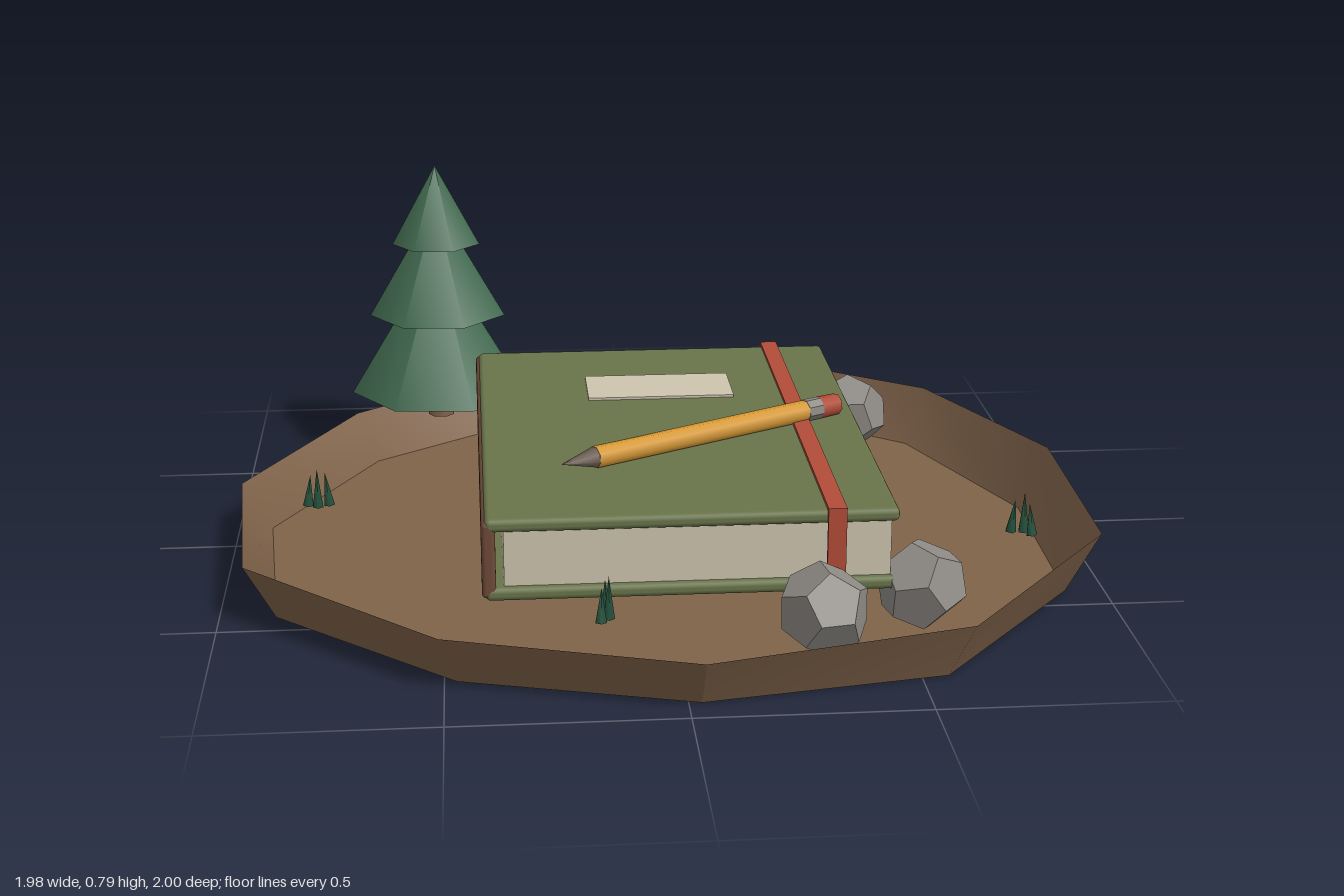
import * as THREE from 'three';
import { RoundedBoxGeometry } from 'three/addons/geometries/RoundedBoxGeometry.js';

const mat = (name, color, extra = {}) =>
  Object.assign(new THREE.MeshStandardMaterial({ color, ...extra }), { name });

export function createModel() {
  const earth = mat('earth', 0x80634a, { side: THREE.DoubleSide });
  const cover = mat('coverGreen', 0x69744a);
  const spine = mat('spineBrown', 0x6e4a38);
  const paper = mat('paper', 0xcdc4ae);
  const red = mat('strapRed', 0xb24c38);
  const yellow = mat('pencilYellow', 0xd89a35);
  const stone = mat('stone', 0x8e8a85, { flatShading: true });
  const pine = mat('pineGreen', 0x41694f);
  const grass = mat('grassGreen', 0x24503c);
  const lead = mat('pencilTip', 0x6b5c50);

  const model = new THREE.Group();
  model.name = 'campNotebookDiorama';
  const group = (name, parent = model) => {
    const g = new THREE.Group();
    g.name = name;
    parent.add(g);
    return g;
  };
  const add = (parent, name, geometry, material, x = 0, y = 0, z = 0) => {
    const m = new THREE.Mesh(geometry, material);
    m.name = name;
    m.position.set(x, y, z);
    parent.add(m);
    return m;
  };
  // Box given by its lower and upper corners
  const box = (parent, name, material, [x0, y0, z0], [x1, y1, z1], radius = 0) => {
    const s = [x1 - x0, y1 - y0, z1 - z0];
    const g = radius ? new RoundedBoxGeometry(...s, 2, radius) : new THREE.BoxGeometry(...s);
    return add(parent, name, g, material, (x0 + x1) / 2, (y0 + y1) / 2, (z0 + z1) / 2);
  };

  // Ground tray: uneven open rim [x, z, height] tapering to a flat floor
  const rim = [
    [0.03, 1.0, 0.118], [0.60, 0.905, 0.14], [0.98, 0.45, 0.15], [0.99, -0.11, 0.155],
    [0.78, -0.64, 0.14], [0.33, -1.0, 0.13], [-0.26, -0.955, 0.13], [-0.73, -0.61, 0.12],
    [-0.99, -0.12, 0.115], [-0.94, 0.46, 0.135], [-0.51, 0.85, 0.125],
  ];
  const taper = 0.93, n = rim.length;
  const wallPos = [], wallIdx = [], floorPos = [0, 0, 0], floorIdx = [];
  for (let i = 0; i <= n; i++) {
    const [x, z, h] = rim[i % n];
    wallPos.push(x, h, z, x * taper, 0, z * taper);
    floorPos.push(x * taper, 0, z * taper);
    if (i < n) {
      const a = 2 * i;
      wallIdx.push(a, a + 1, a + 2, a + 1, a + 3, a + 2);
      floorIdx.push(0, i + 1, i + 2);
    }
  }
  const surface = (pos, idx) => {
    const g = new THREE.BufferGeometry();
    g.setAttribute('position', new THREE.Float32BufferAttribute(pos, 3));
    g.setIndex(idx);
    g.computeVertexNormals();
    return g;
  };
  const ground = group('ground');
  add(ground, 'groundWall', surface(wallPos, wallIdx), earth);
  add(ground, 'groundFloor', surface(floorPos, floorIdx), earth);

  // Notebook
  const book = group('notebook');
  box(book, 'bottomCover', cover, [-0.41, 0.14, -0.465], [0.47, 0.17, 0.705], 0.012);
  box(book, 'topCover', cover, [-0.41, 0.295, -0.465], [0.47, 0.325, 0.705], 0.012);
  box(book, 'pages', paper, [-0.37, 0.168, -0.45], [0.455, 0.297, 0.69]);
  box(book, 'spine', spine, [-0.417, 0.146, -0.464], [-0.387, 0.318, 0.704], 0.01);
  box(book, 'label', paper, [-0.15, 0.323, -0.23], [0.2, 0.331, -0.06]);

  // Elastic strap around the notebook
  const strap = group('strap', book);
  for (const [y0, y1] of [[0.132, 0.141], [0.324, 0.333]])
    box(strap, 'strapAcross', red, [0.315, y0, -0.473], [0.355, y1, 0.713]);
  for (const z of [-0.473, 0.704])
    box(strap, 'strapEnd', red, [0.315, 0.132, z], [0.355, 0.333, z + 0.009]);

  // Map sheet tucked in at the back
  const map = group('map');
  map.position.set(0.18, 0.252, -0.485);
  map.rotation.y = 0.16;
  add(map, 'mapSheet', new THREE.BoxGeometry(0.405, 0.01, 0.32), paper);
  const lines = [
    [0.04, -0.5, 0.29, -0.64, red], [0.13, -0.585, 0.335, -0.485, pine],
    [0.065, -0.655, 0.095, -0.475, cover],
  ];
  lines.forEach(([x0, z0, x1, z1, m], i) => {
    const line = add(model, 'mapLine', new THREE.BoxGeometry(Math.hypot(x1 - x0, z1 - z0), 0.004, 0.013), m,
      (x0 + x1) / 2, 0.2585 + i * 0.001, (z0 + z1) / 2);
    line.rotation.y = Math.atan2(z0 - z1, x1 - x0);
  });

  // Pencil, laid from its tip along local +y
  const pencil = group('pencil');
  pencil.position.set(-0.235, 0.35, 0.445);
  pencil.quaternion.setFromUnitVectors(new THREE.Vector3(0, 1, 0),
    new THREE.Vector3(0.665, 0, -0.365).normalize());
  const section = (name, r0, r1, from, to, m) =>
    add(pencil, name, new THREE.CylinderGeometry(r1, r0, to - from, 8), m, 0, (from + to) / 2, 0);
  section('pencilTip', 0.001, 0.024, 0, 0.085, lead);
  section('pencilBody', 0.025, 0.025, 0.085, 0.662, yellow);
  section('ferrule', 0.026, 0.026, 0.662, 0.702, stone);
  section('eraser', 0.026, 0.025, 0.702, 0.755, red);

  // Pine tree
  const tree = group('tree');
  tree.position.set(-0.51, 0, -0.595);
  tree.rotation.y = 0.38;
  add(tree, 'trunk', new THREE.CylinderGeometry(0.028, 0.034, 0.12, 7), earth, 0, 0.18, 0);
  for (const [r, y0, y1] of [[0.23, 0.195, 0.56], [0.177, 0.4, 0.69], [0.114, 0.585, 0.785]])
    add(tree, 'foliage', new THREE.ConeGeometry(r, y1 - y0, 7), pine, 0, (y0 + y1) / 2, 0);

  // Rocks
  const rocks = [[0.3, 0.135, 0.78, 0.4], [0.53, 0.13, 0.655, 1.3], [0.555, 0.12, -0.515, 2.2]];
  for (const [x, y, z, turn] of rocks) {
    const rock = add(model, 'rock', new THREE.DodecahedronGeometry(0.104), stone, x, y, z);
    rock.rotation.set(turn, turn * 1.7, 0.3);
    rock.scale.setScalar(0.97);
  }

  // Grass tufts of three blades
  const tufts = [[-0.795, 0.065], [-0.165, 0.77], [0.815, 0.37], [0.395, -0.7], [-0.385, -0.785]];
  tufts.forEach(([x, z], i) => {
    const tuft = group('grassTuft');
    tuft.position.set(x, 0.125, z);
    tuft.rotation.y = i * 1.3;
    [[-0.02, 0.075], [0, 0.095], [0.022, 0.08]].forEach(([dx, h], j) => {
      const blade = add(tuft, 'blade', new THREE.ConeGeometry(0.013, h, 5), grass, dx, h / 2, j === 1 ? 0.012 : 0);
      blade.rotation.z = dx * 5;
    });
  });

  return model;
}
